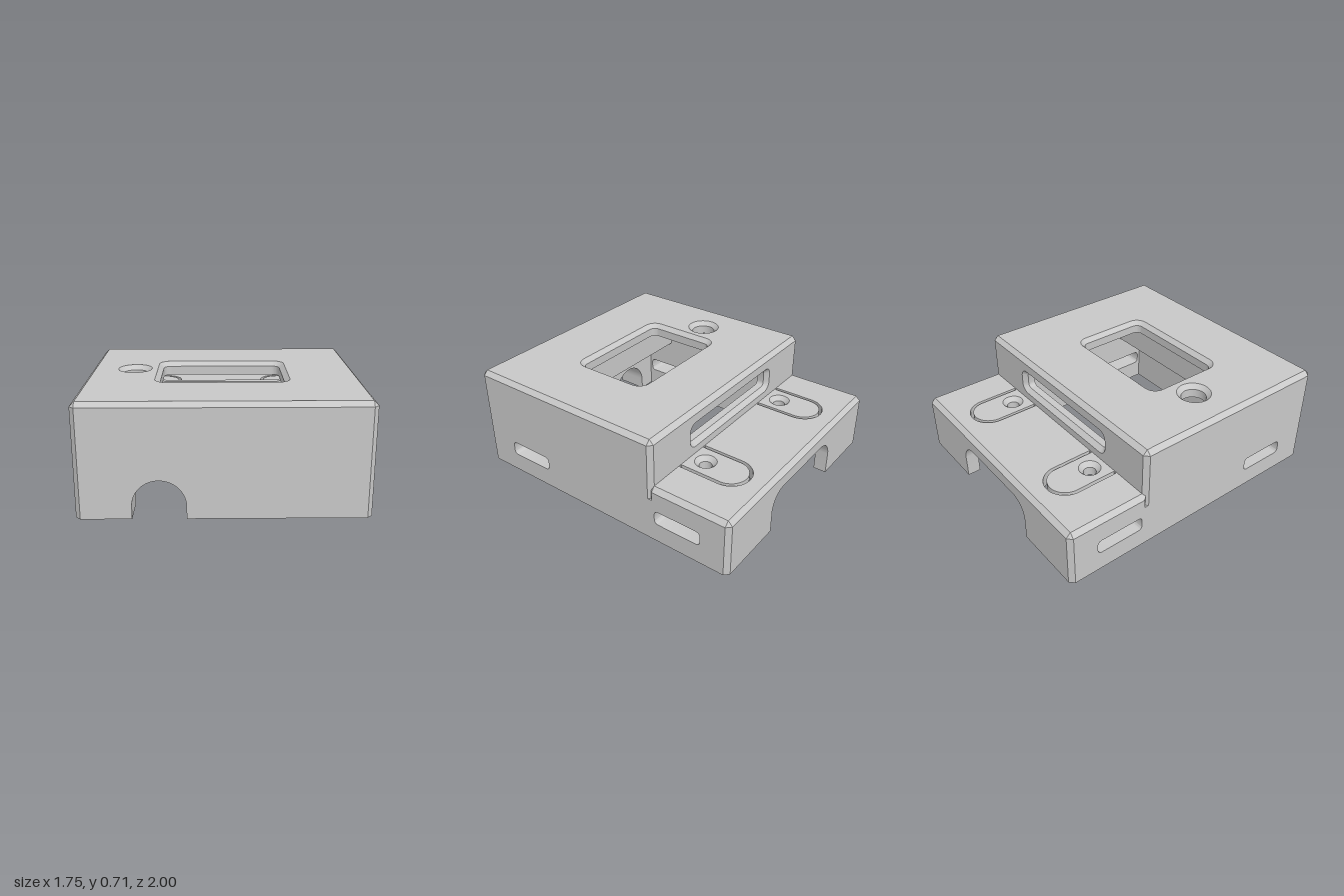
import * as THREE from 'three';
import { toCreasedNormals } from 'three/addons/utils/BufferGeometryUtils.js';

const W = 0.873, C = 0.03;           // half width, chamfer
const TOP = 0.71, LEDGE = 0.39, SKIN = 0.09, STEP = -0.45;
const INNER = 0.664, FRONT = 0.78;   // cavity half width and front end

const grey = new THREE.MeshStandardMaterial({ color: 0xc8c8c8 });
grey.name = 'grey plastic';

// Loop of a rounded rectangle (a circle when w = h = r), w and h are half sizes
function roundedLoop({ x, y, w, h, r }, grow = 0) {
  const loop = [], steps = 10;
  [[1, 1], [-1, 1], [-1, -1], [1, -1]].forEach(([sx, sy], corner) => {
    for (let i = 0; i <= steps; i++) {
      const a = (corner + i / steps) * Math.PI / 2;
      loop.push(new THREE.Vector2(x + sx * (w - r) + (r + grow) * Math.cos(a),
        y + sy * (h - r) + (r + grow) * Math.sin(a)));
    }
  });
  return loop;
}

function polygon(points) {
  return new THREE.Shape(points.map(([x, y]) => new THREE.Vector2(x, y)));
}

function mesh(name, geometry) {
  const m = new THREE.Mesh(toCreasedNormals(geometry, 0.5), grey);
  m.name = name;
  return m;
}

function extrude(shape, depth) {
  return new THREE.ExtrudeGeometry(shape, { depth, bevelEnabled: false, curveSegments: 14 });
}

// Sloping band between two matching loops; solid lies inside a contour, outside a hole
function band(low, high, z0, z1, isHole) {
  const v = [], flip = THREE.ShapeUtils.isClockWise(low) !== isHole;
  low.forEach((a, i) => {
    const j = (i + 1) % low.length, b = low[j], c = high[j], d = high[i];
    const A = [a.x, a.y, z0], B = [b.x, b.y, z0], D = [c.x, c.y, z1], E = [d.x, d.y, z1];
    v.push(...(flip ? [A, D, B, A, E, D] : [A, B, D, A, D, E]).flat());
  });
  const g = new THREE.BufferGeometry();
  g.setAttribute('position', new THREE.Float32BufferAttribute(v, 3));
  g.computeVertexNormals();
  return g;
}

// Panel along +z with chamfered holes and an outer face clamped to bounds
function panel(name, points, depth, holes, cuts, bounds) {
  const z = depth - C;
  const low = points.map(([x, y]) => new THREE.Vector2(x, y));
  const high = points.map(([x, y]) => new THREE.Vector2(
    THREE.MathUtils.clamp(x, -bounds.x, bounds.x),
    THREE.MathUtils.clamp(y, bounds.y0, bounds.y1)));
  const base = new THREE.Shape(low), face = new THREE.Shape(high);
  base.holes = [...holes.map((h) => new THREE.Path(roundedLoop(h))), ...cuts];
  face.holes = [...holes.map((h) => new THREE.Path(roundedLoop(h, C))), ...cuts];
  const group = new THREE.Group();
  group.name = name;
  group.add(mesh(name + 'Body', extrude(base, z)));
  group.add(mesh(name + 'Chamfer', band(low, high, z, depth, false)));
  for (const h of holes) {
    group.add(mesh(name + 'HoleChamfer', band(roundedLoop(h), roundedLoop(h, C), z, depth, true)));
  }
  // Straight walls of the unchamfered cuts
  for (const cut of cuts) {
    const loop = cut.getPoints(14);
    group.add(mesh(name + 'CutWall', band(loop, loop, z, depth, true)));
  }
  group.add(mesh(name + 'Face', new THREE.ShapeGeometry(face, 14).translate(0, 0, depth)));
  return group;
}

// Plan outline with cut corners, y = -z
function plan(zBack, zFront) {
  return [[-W, -zFront + C], [-W + C, -zFront], [W - C, -zFront], [W, -zFront + C],
    [W, -zBack - C], [W - C, -zBack], [-W + C, -zBack], [-W, -zBack - C]];
}

// U-shaped gap around a flexible tab
function tabGap(x) {
  const p = new THREE.Path(), o = 0.14, n = 0.118, z0 = 0.455, zc = 0.735;
  p.moveTo(x + o, z0);
  p.lineTo(x + o, zc);
  p.absarc(x, zc, o, 0, Math.PI, false);
  p.lineTo(x - o, z0);
  p.lineTo(x - n, z0);
  p.lineTo(x - n, zc);
  p.absarc(x, zc, n, Math.PI, 0, true);
  p.lineTo(x + n, z0);
  p.closePath();
  return p;
}

// Wall outline with an arched opening at the bottom edge
function archedWall(half, height, x, w, top, r) {
  const s = new THREE.Shape();
  s.moveTo(-half, 0);
  s.lineTo(x - w, 0);
  s.lineTo(x - w, top - r);
  s.absarc(x - w + r, top - r, r, Math.PI, Math.PI / 2, true);
  s.absarc(x + w - r, top - r, r, Math.PI / 2, 0, true);
  s.lineTo(x + w, 0);
  s.lineTo(half, 0);
  s.lineTo(half, height);
  s.lineTo(-half, height);
  s.closePath();
  return s;
}

// Stepped side outline with two slots (x = -z) and an optional groove in the bottom edge
function sideShape(y0, y1, groove) {
  const notch = groove ? [[-0.33, 0], [-0.3, 0.06], [0.37, 0.06], [0.4, 0]] : [];
  const s = polygon([[-0.97, 0], ...notch, [0.97, 0], [0.97, y0], [-STEP - C, y0], [-STEP - C, y1], [-0.97, y1]]);
  s.holes = [-0.595, 0.635].map((x) =>
    new THREE.Path(roundedLoop({ x, y: 0.18, w: 0.167, h: 0.048, r: 0.028 })));
  return s;
}

export function createModel() {
  const model = new THREE.Group();
  model.name = 'steppedEnclosure';
  const y0 = LEDGE - SKIN, y1 = TOP - SKIN;

  // Upper cover with window and round button hole
  const cover = panel('topCover', plan(STEP, 1), SKIN, [
    { x: -0.005, y: -0.27, w: 0.395, h: 0.26, r: 0.05 },
    { x: -0.58, y: -0.193, w: 0.082, h: 0.082, r: 0.082 },
  ], [], { x: W - C, y0: -1 + C, y1: -STEP - C });
  cover.rotation.x = -Math.PI / 2;
  cover.position.y = y1;
  model.add(cover);

  // Lower ledge with two tabs and countersunk screw holes
  const ledge = panel('rearLedge', plan(-1, STEP + C), SKIN,
    [-0.46, 0.46].map((x) => ({ x, y: 0.555, w: 0.041, h: 0.041, r: 0.041 })),
    [-0.46, 0.46].map(tabGap), { x: W - C, y0: -1, y1: 1 - C });
  ledge.rotation.x = -Math.PI / 2;
  ledge.position.y = y0;
  model.add(ledge);

  // Thick front wall with cable arch, and the lower ceiling behind it
  model.add(mesh('frontWall', extrude(archedWall(W - C, y1, -0.38, 0.16, 0.24, 0.16), 1 - FRONT)
    .translate(0, 0, FRONT)));
  model.add(mesh('frontShelf', new THREE.BoxGeometry(2 * INNER, 0.185, 0.22)
    .translate(0, y1 - 0.0925, FRONT - 0.11)));

  // Back wall with wide connector opening
  model.add(mesh('backWall', extrude(archedWall(W - C, y0, 0, 0.38, 0.28, 0.13), 0.09)
    .translate(0, 0, -1)));

  // Wall above the ledge with a long chamfered opening
  const riser = panel('stepWall', [[-W + C, y0], [W - C, y0], [W - C, y1], [-W + C, y1]], 0.08,
    [{ x: 0, y: 0.53, w: 0.45, h: 0.06, r: 0.03 }], [], { x: W, y0, y1 });
  riser.rotation.y = Math.PI;
  riser.position.z = STEP + 0.08;
  model.add(riser);

  for (const side of [1, -1]) {
    // Thick side wall in three layers, the middle one grooved underneath
    for (const [from, to, groove] of [[INNER, 0.735, false], [0.735, 0.785, true], [0.785, W, false]]) {
      const layer = mesh('sideWall', extrude(sideShape(y0, y1, groove), to - from));
      layer.rotation.y = Math.PI / 2;
      layer.position.x = side > 0 ? from : -to;
      model.add(layer);
    }

    // Chamfer strips on the upright corners
    for (const [z, dir, low, high] of [[1, 1, 0, y1], [-1, -1, 0, y0], [STEP, -1, y0, y1]]) {
      const inset = -z + dir * C;
      const tri = polygon([[side * (W - C), -z], [side * W, inset], [side * (W - C), inset]]);
      model.add(mesh('cornerChamfer', extrude(tri, high - low).rotateX(-Math.PI / 2).translate(0, low, 0)));
    }

    // Catch block hanging under each tab
    const hook = polygon([[0.38, 0.31], [0.38, 0.09], [0.43, 0.04], [0.55, 0.04], [0.55, 0.31]]
      .map(([x, y]) => [side * x, y]));
    model.add(mesh('tabCatch', extrude(hook, 0.12).translate(0, 0, -0.79)));
  }
  return model;
}
